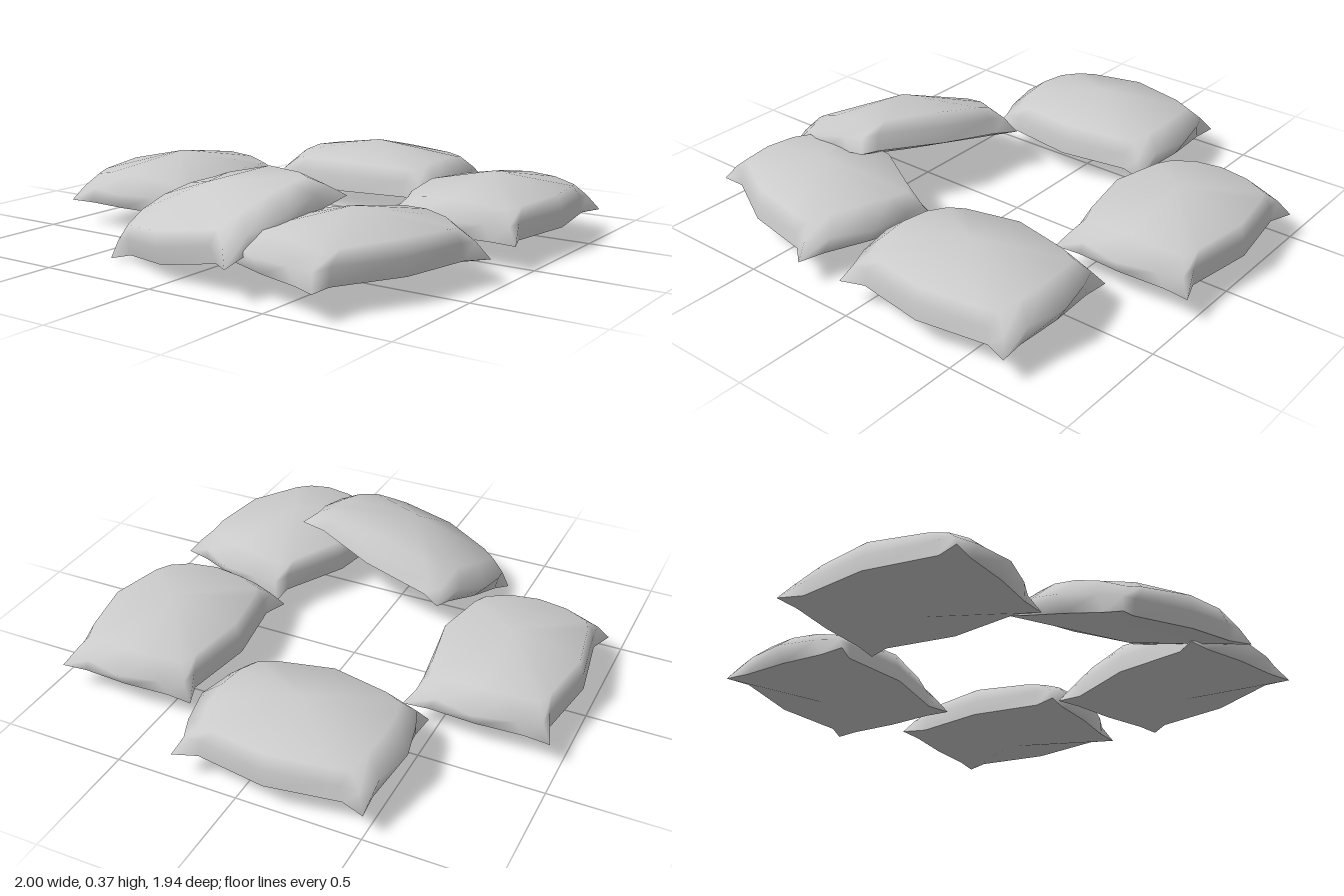
import * as THREE from 'three';

const material = new THREE.MeshStandardMaterial({ color: 0xcccccc });

// Quarter outlines [x, y, z] from the middle of the short end, round the corner, to the middle of the long side
const seam = [[0.385, 0, 0], [0.375, 0, 0.19], [0.385, 0, 0.295], [0.29, 0, 0.26], [0, 0, 0.305]];
const belly = [[0.425, 0.065, 0], [0.388, 0.065, 0.16], [0.352, 0.06, 0.252], [0.28, 0.065, 0.255], [0, 0.065, 0.298]];
const shoulder = [[0.335, 0.135, 0], [0.325, 0.128, 0.12], [0.3, 0.11, 0.215], [0.23, 0.118, 0.24], [0, 0.127, 0.28]];

// Mirror a quarter outline into a closed loop of 16 points
function loop(q) {
  const points = [];
  [[1, 1], [-1, 1], [-1, -1], [1, -1]].forEach(([sx, sz], k) => {
    const part = k % 2 ? [...q].reverse() : q;
    part.slice(0, 4).forEach(([x, y, z]) => points.push([x * sx, y, z * sz]));
  });
  return points;
}

function geometryFrom(points, index) {
  const g = new THREE.BufferGeometry();
  g.setAttribute('position', new THREE.Float32BufferAttribute(points.flat(), 3));
  g.setIndex(index);
  g.computeVertexNormals();
  return g;
}

// Puffed upper side: seam, belly and shoulder loops closed by a crown point
function upperGeometry() {
  const rings = [seam, belly, shoulder].map(loop);
  const n = rings[0].length;
  const points = [...rings.flat(), [0, 0.19, 0]];
  const index = [];
  for (let i = 0; i < n; i++) {
    const j = (i + 1) % n;
    for (let r = 0; r < 2; r++) {
      const a = r * n, b = a + n;
      index.push(a + i, b + i, a + j, a + j, b + i, b + j);
    }
    index.push(3 * n, 2 * n + j, 2 * n + i);
  }
  return geometryFrom(points, index);
}

// Shallow underside hanging below the seam
function undersideGeometry() {
  const ring = loop(seam);
  const n = ring.length;
  const index = [];
  for (let i = 0; i < n; i++) index.push(n, i, (i + 1) % n);
  return geometryFrom([...ring, [0, -0.05, 0]], index);
}

export function createModel() {
  const model = new THREE.Group();
  model.name = 'cushionRing';
  const upper = upperGeometry();
  const underside = undersideGeometry();

  // A cushion with its long axis along the given direction and its local z along the given side
  function addCushion(name, position, along, side) {
    const x = new THREE.Vector3(...along).normalize();
    const y = new THREE.Vector3(...side).cross(x).normalize();
    const z = new THREE.Vector3().crossVectors(x, y);
    const cushion = new THREE.Group();
    cushion.name = name;
    cushion.position.set(...position);
    cushion.quaternion.setFromRotationMatrix(new THREE.Matrix4().makeBasis(x, y, z));
    [['cushionTop', upper], ['cushionUnderside', underside]].forEach(([part, geometry]) => {
      const mesh = new THREE.Mesh(geometry, material);
      mesh.name = part;
      cushion.add(mesh);
    });
    model.add(cushion);
  }

  // Flat cushions
  addCushion('backCushion', [-0.035, 0.1, -0.665], [1, 0, 0], [0, 0, 1]);
  addCushion('leftCushion', [0.695, 0.1, -0.115], [0, 0, -1], [1, 0, 0]);
  addCushion('frontCushion', [0.315, 0.1, 0.66], [1, 0, 0], [0, 0, 1]);
  addCushion('frontRightCushion', [-0.54, 0.1, 0.553], [0.94, 0, 0.342], [-0.342, 0, 0.94]);
  // Cushion leaning on its neighbour
  addCushion('leaningCushion', [-0.6, 0.148, 0.025], [-0.212, 0.115, 0.725], [-0.54, -0.175, -0.125]);
  return model;
}
